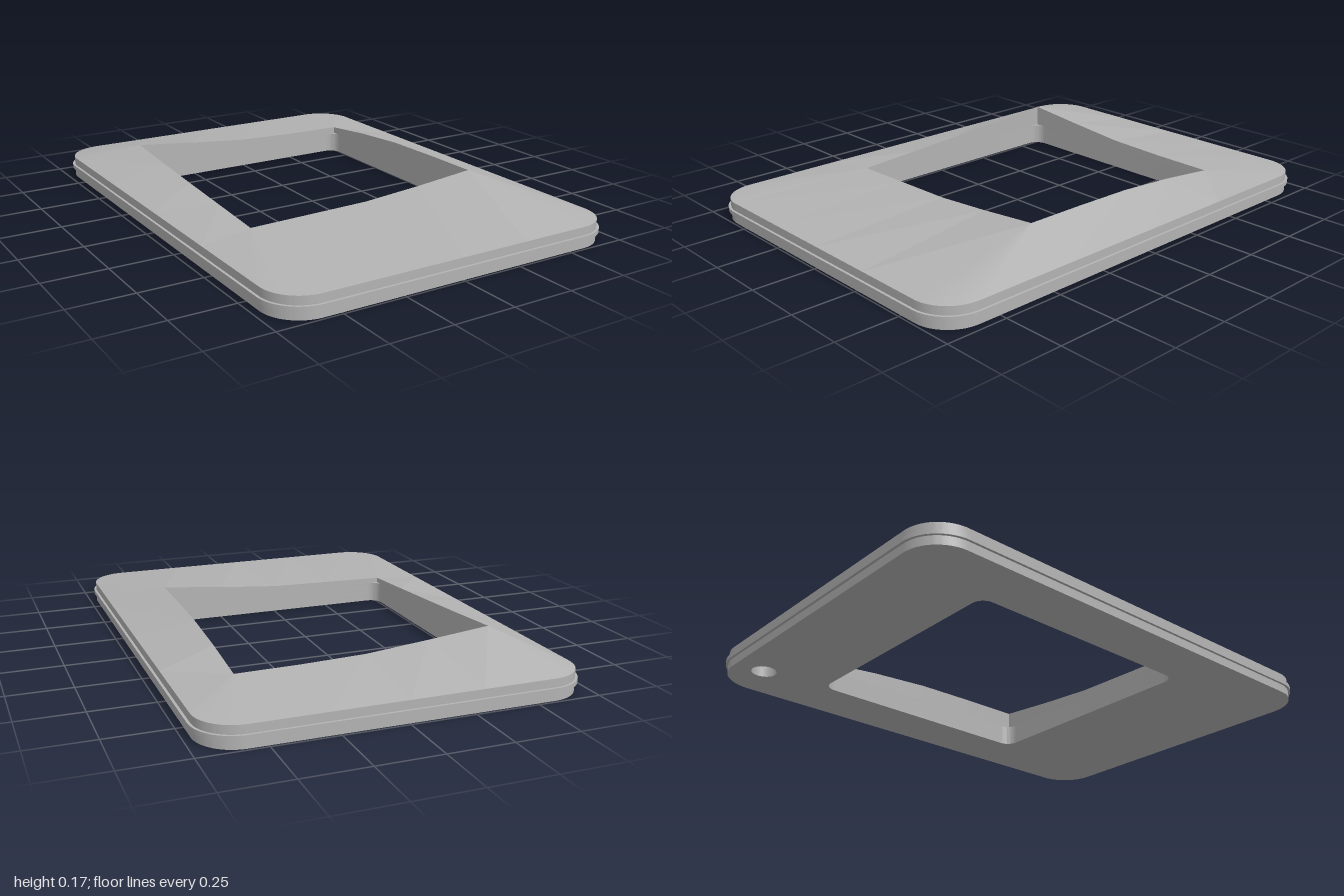
import * as THREE from 'three';
import { toCreasedNormals } from 'three/addons/utils/BufferGeometryUtils.js';

const BASE_TOP = 0.085;
const HALF_X = 0.72, HALF_Z = 0.99, CORNER = 0.15;
// window opening
const WIN = { x0: -0.51, x1: 0.5, z0: -0.61, z1: 0.4 };

// rounded rectangle in plan; shape y is -z
function roundedRect(target, x0, x1, z0, z1, r) {
  const y0 = -z1, y1 = -z0;
  target.absarc(x1 - r, y0 + r, r, -Math.PI / 2, 0);
  target.absarc(x1 - r, y1 - r, r, 0, Math.PI / 2);
  target.absarc(x0 + r, y1 - r, r, Math.PI / 2, Math.PI);
  target.absarc(x0 + r, y0 + r, r, Math.PI, Math.PI * 1.5);
  target.closePath();
  return target;
}

// one horizontal slab of the frame with the window and the round socket cut out
function slab(name, grow, y0, y1, material) {
  const x = HALF_X + grow, z = HALF_Z + grow;
  const shape = roundedRect(new THREE.Shape(), -x, x, -z, z, CORNER + grow);
  shape.holes.push(roundedRect(new THREE.Path(), WIN.x0, WIN.x1, WIN.z0, WIN.z1, 0.05));
  shape.holes.push(new THREE.Path().absarc(0.53, 0.87, 0.05, 0, Math.PI * 2, true));
  const geo = new THREE.ExtrudeGeometry(shape, { depth: y1 - y0, bevelEnabled: false, curveSegments: 12 });
  geo.rotateX(-Math.PI / 2).translate(0, y0, 0);
  const mesh = new THREE.Mesh(toCreasedNormals(geo, 0.6), material);
  mesh.name = name;
  return mesh;
}

function facetedMesh(name, tris, material) {
  const geo = new THREE.BufferGeometry().setFromPoints(tris);
  geo.computeVertexNormals();
  const mesh = new THREE.Mesh(geo, material);
  mesh.name = name;
  return mesh;
}

export function createModel() {
  const grey = new THREE.MeshStandardMaterial({ color: 0xb3b3b3 });
  grey.name = 'grey';
  const greySheet = new THREE.MeshStandardMaterial({ color: 0xb3b3b3, side: THREE.DoubleSide });
  greySheet.name = 'grey sheet';

  const group = new THREE.Group();
  group.name = 'windowFrame';

  // base with a thin rim around its middle
  group.add(slab('baseLower', 0, 0, 0.035, grey));
  group.add(slab('rim', 0.01, 0.035, 0.052, grey));
  group.add(slab('baseUpper', 0, 0.052, BASE_TOP, grey));

  // window corners, counter-clockwise from above, and the edge heights that follow each one
  const corners = [
    { sx: -1, sz: -1, x: WIN.x0, z: WIN.z0, heights: [0.173, 0.154, 0.137, 0.121, 0.105] },
    { sx: -1, sz: 1, x: WIN.x0, z: WIN.z1, heights: [0.105, 0.11, 0.115, 0.135, 0.16] },
    { sx: 1, sz: 1, x: WIN.x1, z: WIN.z1, heights: [0.16, 0.159, 0.155, 0.138, 0.112] },
    { sx: 1, sz: -1, x: WIN.x1, z: WIN.z0, heights: [0.112, 0.115, 0.123, 0.147, 0.173] },
  ];
  const arcSteps = 8;
  // points round the outer corner i, in travel order
  const arc = (i) => {
    const c = corners[i], pts = [];
    for (let k = 0; k <= arcSteps; k++) {
      const a = (Math.PI / 2) * (1 + i + k / arcSteps);
      pts.push(new THREE.Vector3(
        c.sx * (HALF_X - CORNER) + CORNER * Math.cos(a), BASE_TOP,
        c.sz * (HALF_Z - CORNER) - CORNER * Math.sin(a)));
    }
    return pts;
  };

  const slope = [], wall = [];
  corners.forEach((c, i) => {
    const n = (i + 1) % 4, next = corners[n];
    const here = arc(i), there = arc(n);
    const tip = new THREE.Vector3(c.x, c.heights[0], c.z);

    // fan from the window corner to the rounded outer corner
    for (let k = 0; k < arcSteps; k++) slope.push(here[k], here[k + 1], tip);

    // sloped strip and upright window wall along the side
    const steps = c.heights.length - 1;
    const outer = (k) => here[arcSteps].clone().lerp(there[0], k / steps);
    const inner = (k, y) => new THREE.Vector3(
      THREE.MathUtils.lerp(c.x, next.x, k / steps), y,
      THREE.MathUtils.lerp(c.z, next.z, k / steps));
    for (let k = 0; k < steps; k++) {
      const oa = outer(k), ob = outer(k + 1);
      const ia = inner(k, c.heights[k]), ib = inner(k + 1, c.heights[k + 1]);
      const la = inner(k, BASE_TOP), lb = inner(k + 1, BASE_TOP);
      slope.push(oa, ob, ib, oa, ib, ia);
      wall.push(ia, ib, la, ib, lb, la);
    }
  });
  group.add(facetedMesh('slopedTop', slope, greySheet));
  group.add(facetedMesh('openingWall', wall, grey));
  return group;
}
